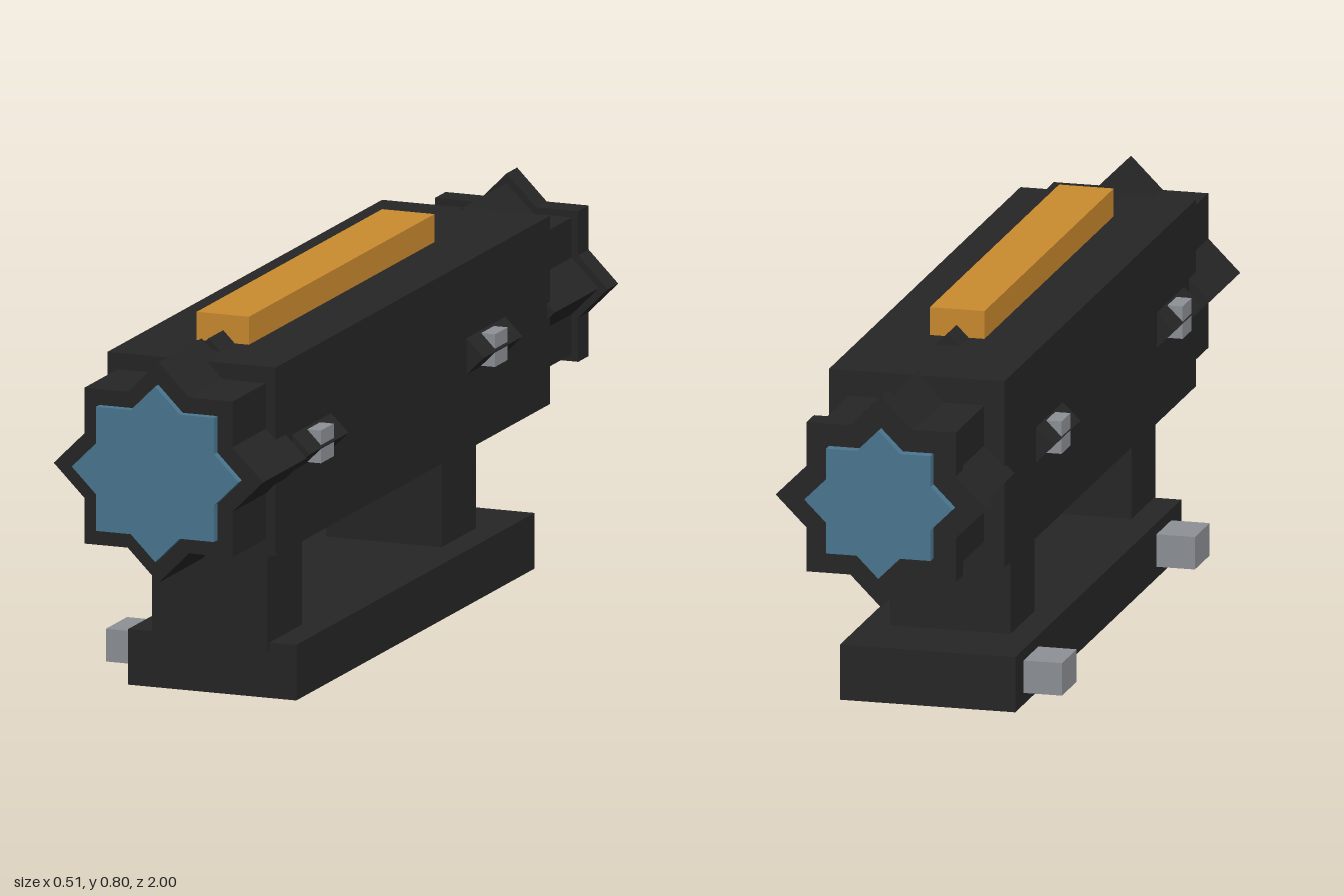
import * as THREE from 'three';

const AXIS_X = 0.018, AXIS_Y = 0.535; // axis of the sight tube

export function createModel() {
  const model = new THREE.Group();
  model.name = 'rifleScope';

  const material = (name, color) => {
    const m = new THREE.MeshStandardMaterial({ color });
    m.name = name;
    return m;
  };
  const black = material('matteBlack', 0x252525);
  const blue = material('lensBlue', 0x4a7790);
  const orange = material('amber', 0xca8a2e);
  const gray = material('steelGray', 0x8d9095);

  const add = (name, geometry, mat) => {
    const mesh = new THREE.Mesh(geometry, mat);
    mesh.name = name;
    model.add(mesh);
    return mesh;
  };

  // Box given by its minimum and maximum on each axis
  const box = (name, mat, [x0, x1], [y0, y1], [z0, z1]) =>
    add(name, new THREE.BoxGeometry(x1 - x0, y1 - y0, z1 - z0), mat)
      .position.set((x0 + x1) / 2, (y0 + y1) / 2, (z0 + z1) / 2);

  // Eight-pointed prism along z: the outline of two squares turned by 45 degrees
  const star = (name, mat, radius, [z0, z1]) => {
    const inner = radius * Math.cos(Math.PI / 4) / Math.cos(Math.PI / 8);
    const points = [];
    for (let i = 0; i < 16; i++) {
      const a = i * Math.PI / 8, r = i % 2 ? inner : radius;
      points.push(new THREE.Vector2(Math.cos(a) * r, Math.sin(a) * r));
    }
    const geometry = new THREE.ExtrudeGeometry(new THREE.Shape(points),
      { depth: z1 - z0, bevelEnabled: false });
    add(name, geometry, mat).position.set(AXIS_X, AXIS_Y, z0);
  };

  // Main housing and amber light strip
  box('housing', black, [-0.172, 0.207], [0.334, 0.737], [-0.7, 0.8]);
  box('lightStrip', orange, [-0.042, 0.076], [0.72, 0.797], [-0.385, 0.628]);

  // Front hood and lens
  star('frontHood', black, 0.236, [0.745, 0.982]);
  star('frontLens', blue, 0.188, [0.96, 1]);

  // Rear eyepiece, its rim and lens
  star('eyepiece', black, 0.207, [-0.93, -0.682]);
  star('eyepieceRim', black, 0.228, [-0.977, -0.92]);
  star('rearLens', blue, 0.16, [-1, -0.96]);

  // Clamp rings with steel screws through the sides
  for (const z of [0.602, -0.348]) {
    star('clampRing', black, 0.228, [z - 0.106, z + 0.106]);
    box('clampScrew', gray, [-0.208, 0.242], [0.5, 0.57], [z - 0.035, z + 0.035]);
  }

  // Mounting rail, posts and locking knobs
  box('mountBase', black, [-0.172, 0.207], [0, 0.119], [-0.615, 0.687]);
  for (const z of [0.605, -0.345])
    box('mountPost', black, [-0.113, 0.147], [0.1, 0.35], [z - 0.094, z + 0.094]);
  for (const z of [0.55, -0.492])
    box('lockingKnob', gray, [-0.255, -0.15], [0.025, 0.095], [z - 0.058, z + 0.058]);

  return model;
}
